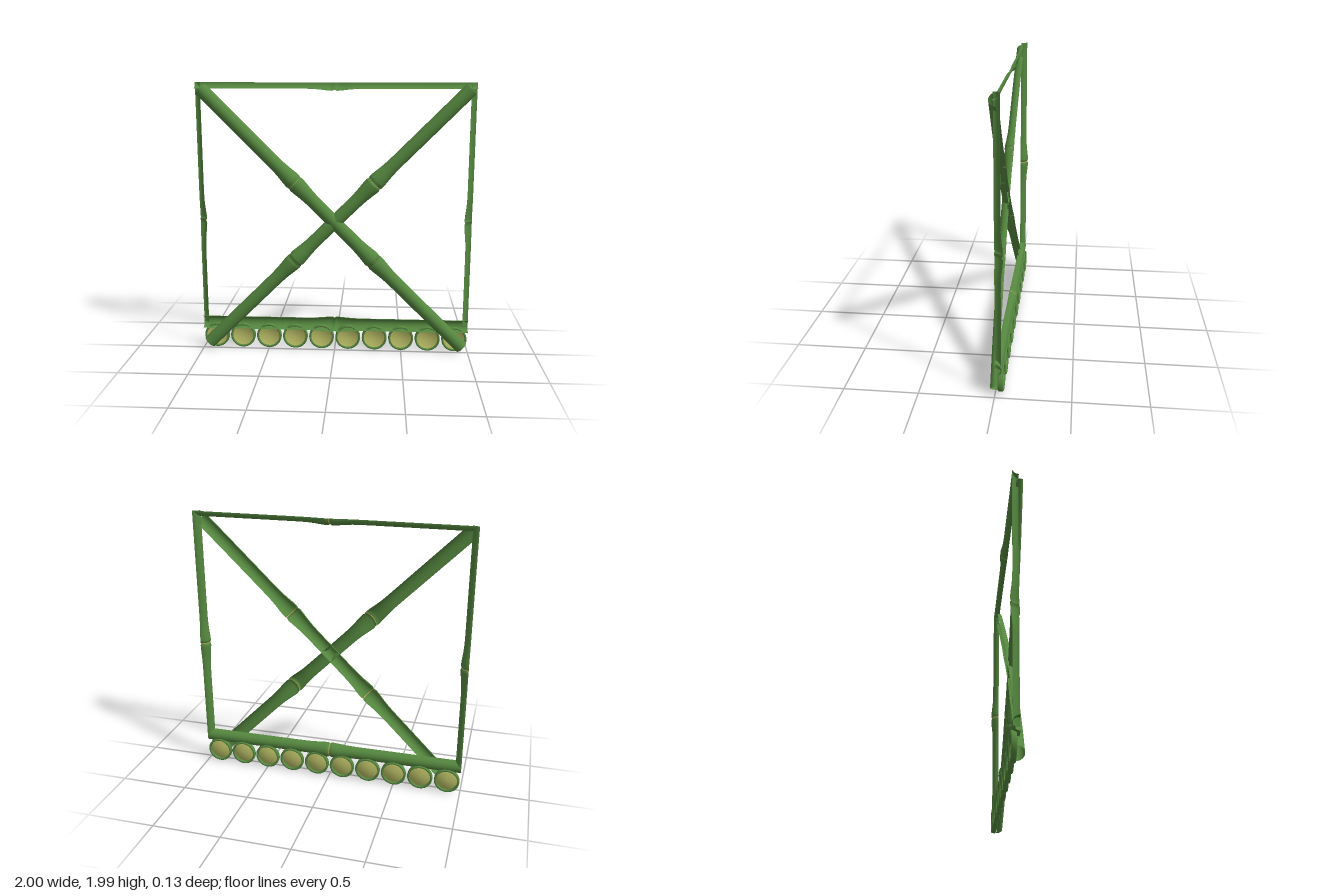
import * as THREE from 'three';
import { ParametricGeometry } from 'three/addons/geometries/ParametricGeometry.js';

const mat = (color) => new THREE.MeshStandardMaterial({ color, side: THREE.DoubleSide });
const V = (x, y, z) => new THREE.Vector3(x, y, z);

// Cane radius: slim between joints, flaring to a pinched joint at each node
function caneRadius(s, nodes, base, flare) {
  let r = base;
  for (const n of nodes) {
    const d = Math.abs(s - n);
    r += flare * Math.exp(-Math.pow(d / 0.11, 2)) - 0.009 * Math.exp(-Math.pow(d / 0.008, 2));
  }
  return r;
}

// Split cane: an arc swept from u to v (angles a0..a1) along a straight or bowed axis
function cane(name, start, end, u, v, a0, a1, { nodes, base = 0.045, flare = 0.015, bow = () => 0 }, green, tan) {
  const group = new THREE.Group();
  group.name = name;
  const length = start.distanceTo(end);
  const dir = end.clone().sub(start).normalize();
  const place = (s, a, r, out) => {
    out.copy(start).addScaledVector(dir, s)
      .addScaledVector(u, r * Math.cos(a)).addScaledVector(v, r * Math.sin(a));
    out.z += bow((2 * s) / length - 1);
    return out;
  };
  const sweep = (s0, s1, steps, extra) => new ParametricGeometry((p, q, out) => {
    const s = s0 + (s1 - s0) * p;
    place(s, a0 + (a1 - a0) * q, caneRadius(s, nodes, base, flare) + extra, out);
  }, steps, 14);

  const shell = new THREE.Mesh(sweep(0, length, 160, 0), green);
  shell.name = 'caneShell';
  group.add(shell);
  // pale seam at each joint
  for (const n of nodes) {
    const seam = new THREE.Mesh(sweep(n - 0.004, n + 0.004, 2, 0.002), tan);
    seam.name = 'jointSeam';
    group.add(seam);
  }
  return group;
}

export function createModel() {
  const model = new THREE.Group();
  model.name = 'bambooPanel';
  const green = mat(0x55873f);
  const tan = mat(0xb3a55a);
  const pith = mat(0xb4b862);
  const X = V(1, 0, 0), Y = V(0, 1, 0), Z = V(0, 0, 1), back = V(0, 0, -1);
  const add = (...args) => model.add(cane(...args, green, tan));

  // Upright quarter canes, mirrored
  for (const side of [-1, 1]) {
    add(side > 0 ? 'leftUpright' : 'rightUpright', V(side, 0.2, 0), V(side, 2, 0),
      X.clone().multiplyScalar(-side), back, 0, Math.PI / 2, { nodes: [0.8] });
  }

  // Top quarter cane
  add('topRail', V(-1, 2, 0), V(1, 2, 0), Y.clone().negate(), back, 0, Math.PI / 2,
    { nodes: [1], base: 0.042 });

  // Bottom half cane, open to the front
  add('bottomRail', V(-1, 0.21, 0), V(1, 0.21, 0), Y, back, 0, Math.PI,
    { nodes: [1], base: 0.048, flare: 0.012 });

  // Crossed braces: half canes bowed to the front, one slightly ahead
  const half = 0.955, span = half * Math.SQRT2;
  for (const side of [-1, 1]) {
    const lift = side < 0 ? 0.006 : 0;
    add(side < 0 ? 'frontBrace' : 'rearBrace',
      V(side * half, 1 + half, 0), V(-side * half, 1 - half, 0),
      V(1, side * -1, 0).normalize(), Z, 0, Math.PI,
      { nodes: [span - 0.41, span + 0.41], base: 0.049, flare: 0.015, bow: (t) => lift - 0.022 * t * t });
  }

  // Row of cut cane ends: green ring with a dished pale core
  const ringProfile = [[0.08, -0.015], [0.088, -0.018], [0.094, -0.012], [0.094, 0.012],
    [0.088, 0.018], [0.08, 0.015], [0.078, 0], [0.08, -0.015]].map(([r, h]) => new THREE.Vector2(r, h));
  const ringGeo = new THREE.LatheGeometry(ringProfile, 36).rotateX(Math.PI / 2);
  const coreProfile = [0, 0.02, 0.04, 0.06, 0.072, 0.08]
    .map((r) => new THREE.Vector2(r, -0.012 + 0.018 * Math.pow(r / 0.08, 2)));
  const coreGeo = new THREE.LatheGeometry(coreProfile, 36).rotateX(Math.PI / 2);
  for (let i = 0; i < 10; i++) {
    const cut = new THREE.Group();
    cut.name = 'cutCaneEnd';
    const ring = new THREE.Mesh(ringGeo, green);
    ring.name = 'caneRing';
    const core = new THREE.Mesh(coreGeo, pith);
    core.name = 'caneCore';
    cut.add(ring, core);
    cut.position.set(-0.9 + i * 0.2, 0.1, -0.037);
    model.add(cut);
  }
  return model;
}
